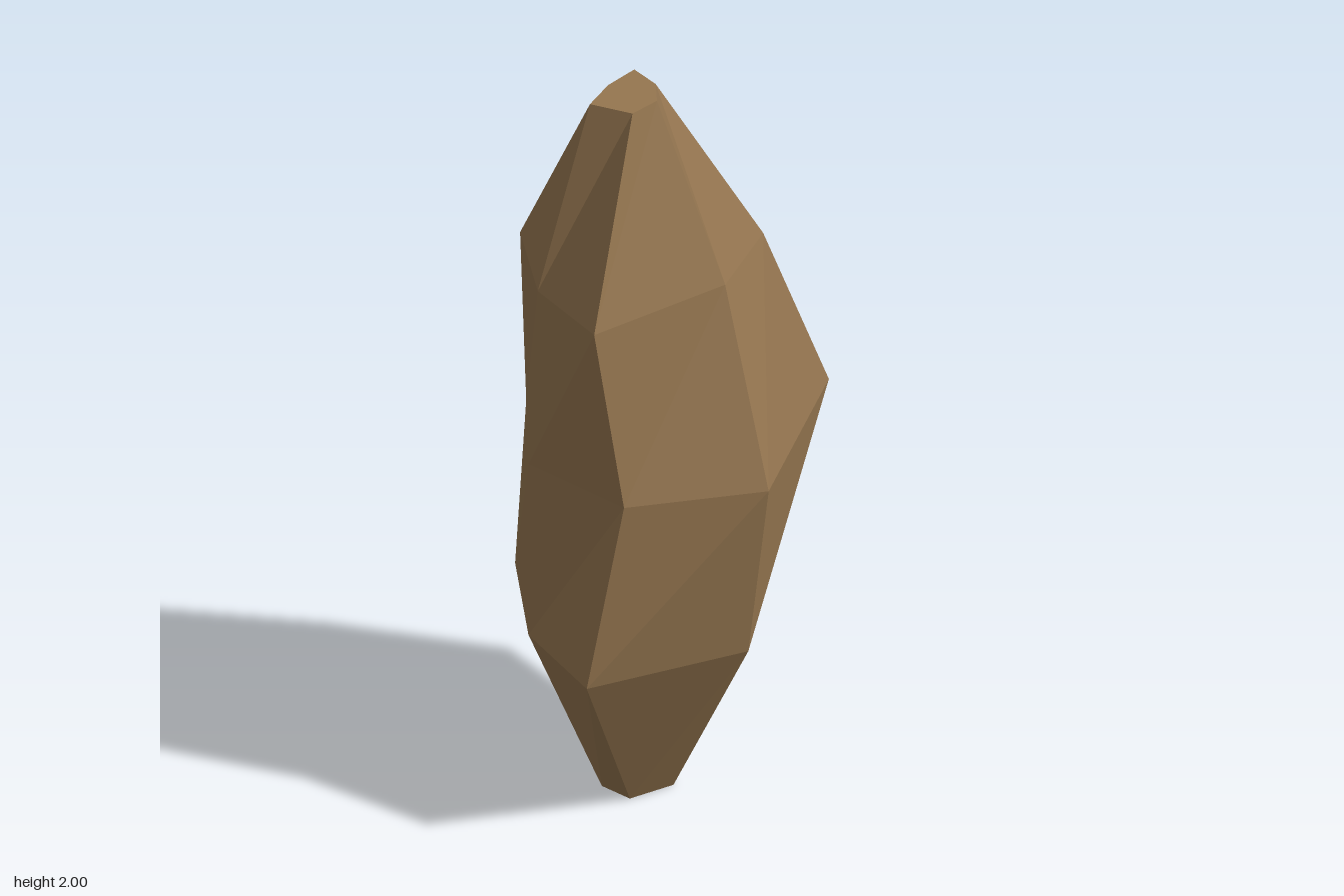
import * as THREE from 'three';

// Six corners per ring as [x, z], counter-clockwise seen from above, starting at the -x corner.
const RINGS = [
  { y: 0.0, pts: [[-0.21, 0.01], [-0.165, 0.085], [-0.045, 0.065], [-0.035, -0.01], [-0.08, -0.095], [-0.195, -0.055]] },
  { y: 0.5, pts: [[-0.407, 0.03], [-0.355, 0.3], [0.07, 0.28], [0.2, -0.02], [0.028, -0.345], [-0.33, -0.275]] },
  { y: 1.0, pts: [[-0.407, 0.03], [-0.255, 0.29], [0.1, 0.342], [0.405, -0.067], [0.03, -0.323], [-0.317, -0.232]] },
  { y: 1.5, pts: [[-0.383, 0.03], [-0.32, 0.257], [0.054, 0.16], [0.218, -0.02], [-0.015, -0.235], [-0.335, -0.226]] },
  { y: 2.0, pts: [[-0.24, 0.008], [-0.157, 0.082], [-0.082, 0.05], [-0.06, -0.02], [-0.087, -0.097], [-0.17, -0.055]] },
];

// Joins the rings with side faces and closes both ends.
function loftRings(rings) {
  const sides = rings[0].pts.length;
  const positions = rings.flatMap(({ y, pts }) => pts.flatMap(([x, z]) => [x, y, z]));
  const index = [];
  for (let r = 0; r < rings.length - 1; r++) {
    for (let i = 0; i < sides; i++) {
      const j = (i + 1) % sides;
      const low = r * sides, high = low + sides;
      index.push(high + i, low + i, high + j, low + i, low + j, high + j);
    }
  }
  const top = (rings.length - 1) * sides;
  for (let i = 1; i < sides - 1; i++) {
    index.push(0, i + 1, i);                   // bottom cap
    index.push(top, top + i, top + i + 1);     // top cap
  }
  const geometry = new THREE.BufferGeometry();
  geometry.setAttribute('position', new THREE.Float32BufferAttribute(positions, 3));
  geometry.setIndex(index);
  const faceted = geometry.toNonIndexed();
  faceted.computeVertexNormals();
  return faceted;
}

export function createModel() {
  const stone = new THREE.MeshStandardMaterial({ color: 0x957650, flatShading: true });
  stone.name = 'brown stone';

  const group = new THREE.Group();
  group.name = 'rockSpire';
  const rock = new THREE.Mesh(loftRings(RINGS), stone);
  rock.name = 'rock';
  group.add(rock);
  return group;
}
